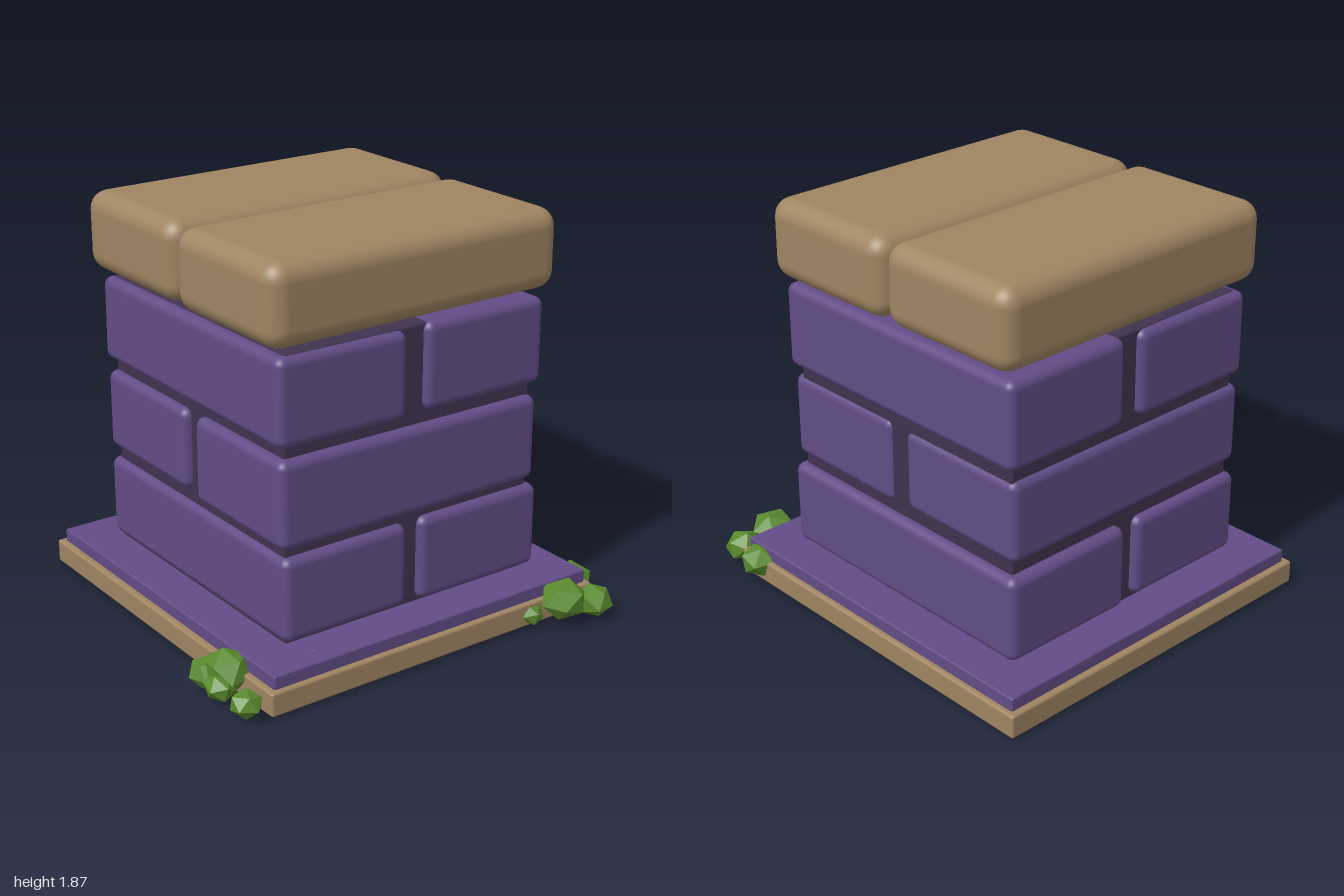
import * as THREE from 'three';
import { RoundedBoxGeometry } from 'three/addons/geometries/RoundedBoxGeometry.js';

const paint = (color, flatShading = false) => new THREE.MeshStandardMaterial({ color, flatShading });

export function createModel() {
  const model = new THREE.Group();
  const purple = paint(0x624c86);
  const mortar = paint(0x40334f);
  const tan = paint(0x9f8562);
  const green = paint(0x5a8a2e, true);

  // Rounded block given by its extents along each axis
  function block(name, material, [x0, x1], [y0, y1], [z0, z1], radius, tilt = 0) {
    const geometry = new RoundedBoxGeometry(x1 - x0, y1 - y0, z1 - z0, 3, radius);
    const mesh = new THREE.Mesh(geometry, material);
    mesh.name = name;
    mesh.position.set((x0 + x1) / 2, (y0 + y1) / 2, (z0 + z1) / 2);
    mesh.rotation.set(0, tilt, tilt);
    model.add(mesh);
  }

  // Stepped base
  block('basePlate', tan, [-0.84, 0.93], [0.02, 0.13], [-1, 0.83], 0.012);
  block('baseSlab', purple, [-0.81, 0.905], [0.12, 0.19], [-0.97, 0.805], 0.008);

  // Recessed mortar core
  block('mortarCore', mortar, [-0.61, 0.705], [0.18, 1.475], [-0.76, 0.595], 0.01);

  // Brick courses: two bricks each, alternating direction
  block('lowerBrickRight', purple, [-0.64, 0.005], [0.205, 0.59], [-0.8, 0.635], 0.04, 0.004);
  block('lowerBrickLeft', purple, [0.08, 0.75], [0.2, 0.595], [-0.81, 0.635], 0.04);
  block('middleBrickFront', purple, [-0.655, 0.72], [0.635, 1.03], [-0.03, 0.64], 0.04);
  block('middleBrickBack', purple, [-0.65, 0.72], [0.65, 1.025], [-0.785, -0.115], 0.04);
  block('upperBrickRight', purple, [-0.655, 0], [1.08, 1.47], [-0.795, 0.63], 0.04, -0.004);
  block('upperBrickLeft', purple, [0.1, 0.75], [1.085, 1.48], [-0.8, 0.63], 0.04);

  // Two thick cap stones
  block('capStoneFront', tan, [-0.71, 0.8], [1.51, 1.875], [-0.08, 0.66], 0.085, 0.004);
  block('capStoneBack', tan, [-0.71, 0.8], [1.515, 1.88], [-0.825, -0.09], 0.085, 0.004);

  // Shrub clumps at the two front corners: x, y, z, radius
  const clumps = {
    leftShrub: [
      [0.71, 0.13, 0.88, 0.112], [0.87, 0.09, 0.91, 0.09],
      [0.575, 0.07, 0.81, 0.065], [0.905, 0.11, 0.72, 0.1],
    ],
    rightShrub: [
      [-0.91, 0.09, 0.45, 0.085], [-0.86, 0.125, 0.54, 0.11],
      [-0.93, 0.085, 0.58, 0.075], [-0.92, 0.085, 0.76, 0.075],
      [-0.81, 0.08, 0.44, 0.1], [-0.58, 0.113, 0.7, 0.1],
    ],
  };
  const leaf = new THREE.IcosahedronGeometry(1, 0);
  for (const [name, balls] of Object.entries(clumps)) {
    const clump = new THREE.Group();
    clump.name = name;
    balls.forEach(([x, y, z, r], i) => {
      const ball = new THREE.Mesh(leaf, green);
      ball.name = 'leafBall';
      ball.position.set(x, y, z);
      ball.scale.set(r, r * 0.82, r);
      ball.rotation.set(0.1 * i, 1.3 * i + 0.4, 0.15);
      clump.add(ball);
    });
    model.add(clump);
  }
  return model;
}
